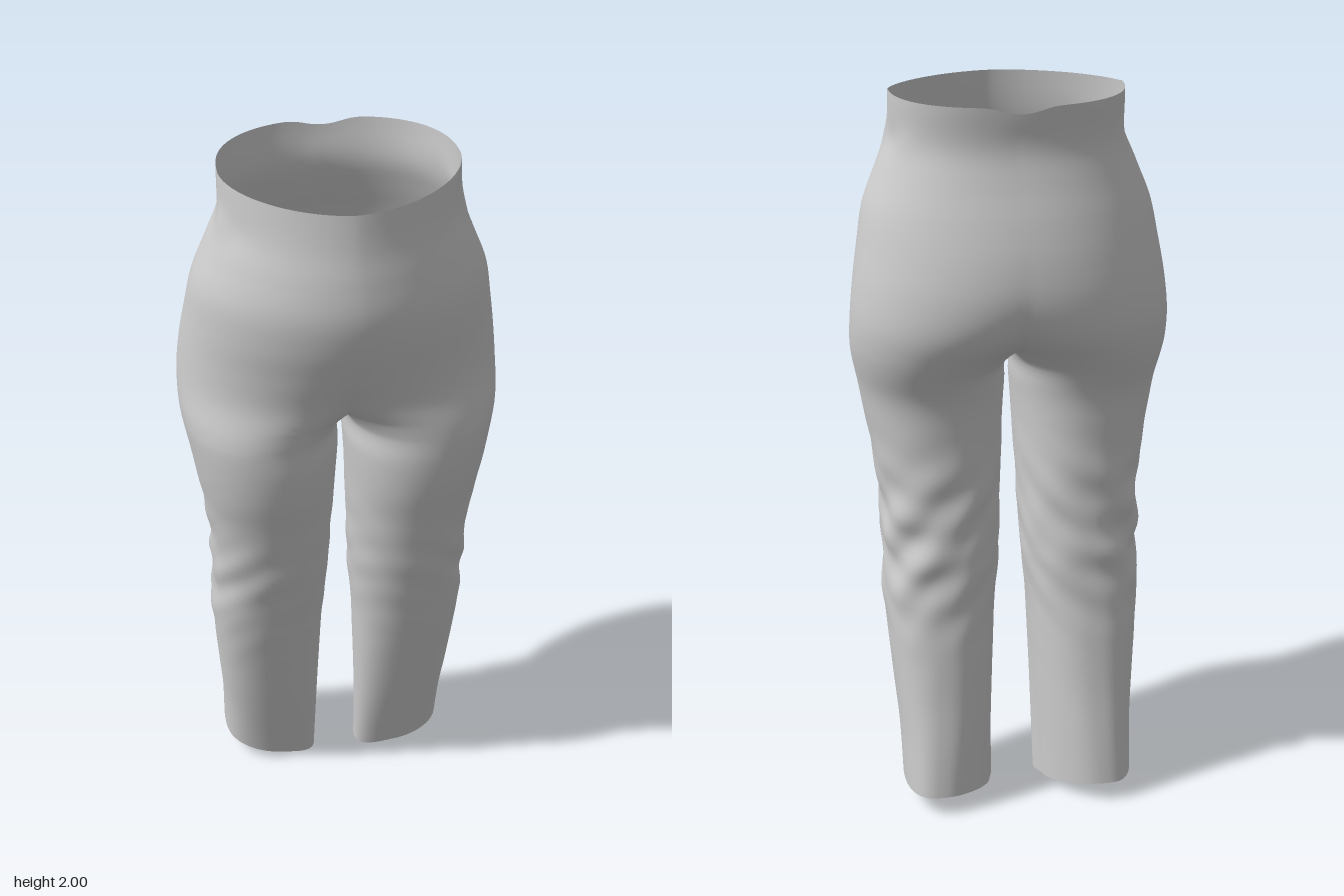
import * as THREE from 'three';
import { mergeGeometries, mergeVertices } from 'three/addons/utils/BufferGeometryUtils.js';

// Fit of the garment by height: y, outer x, inner x / outer x, front z, back z,
// squareness of the front and of the back (superellipse exponents)
// (inner ratio -1 = one ellipse round the whole body, above 0 = separate legs)
const FIT = [
  [0.0, 0.325, 0.055, -0.02, -0.295, 2.6, 2.4],
  [0.2, 0.33, 0.075, 0.03, -0.27, 2.55, 2.4],
  [0.4, 0.345, 0.09, 0.075, -0.24, 2.5, 2.35],
  [0.6, 0.36, 0.1, 0.12, -0.212, 2.4, 2.3],
  [0.8, 0.358, 0.085, 0.165, -0.195, 2.3, 2.25],
  [1.0, 0.375, 0.055, 0.205, -0.185, 2.2, 2.2],
  [1.1, 0.393, 0.04, 0.228, -0.185, 2.15, 2.15],
  [1.2, 0.41, 0.022, 0.24, -0.195, 2.1, 2.1],
  [1.28, 0.426, 0.008, 0.24, -0.228, 2.05, 2.05],
  [1.31, 0.43, -0.06, 0.24, -0.245, 2.02, 2.05],
  [1.4, 0.43, -0.45, 0.243, -0.295, 2.0, 2.05],
  [1.5, 0.42, -0.79, 0.275, -0.315, 1.95, 2.07],
  [1.6, 0.404, -0.94, 0.308, -0.306, 1.9, 2.1],
  [1.7, 0.385, -1, 0.325, -0.28, 1.85, 2.15],
  [1.8, 0.346, -1, 0.316, -0.246, 1.8, 2.25],
  [1.88, 0.317, -1, 0.302, -0.226, 1.75, 2.3],
  [2.0, 0.31, -1, 0.292, -0.235, 1.7, 2.35],
];
const CROTCH = 1.31;
const fit = new THREE.CubicInterpolant(
  FIT.map((r) => r[0]), FIT.flatMap((r) => r.slice(1)), 6, new Float32Array(6));
const { smoothstep } = THREE.MathUtils;
const soft = (v, n) => Math.sign(v) * Math.abs(v) ** (2 / n);

// Centre, half-sizes and squareness of the section of one half at height y
function section(y) {
  const [xo, k, zf, zb, nf, nb] = fit.evaluate(y);
  const xi = Math.max(k, -1) * xo;
  return { c: (xo + xi) / 2, a: (xo - xi) / 2, zc: (zf + zb) / 2, d: (zf - zb) / 2, nf, nb };
}

// Angles at which the outer arc leaves the mid plane in front and reaches it behind
function outerArc(y) {
  const { c, a, nf, nb } = section(Math.max(y, CROTCH));
  const overrun = (n) => Math.asin(Math.min(1, Math.max(0, c / a) ** (n / 2)));
  return [-overrun(nf), Math.PI + overrun(nb)];
}

// The rest of the turn, along the inside of the leg
function innerArc(y) {
  const [front, back] = outerArc(y);
  return [back, 2 * Math.PI + front];
}

// Surface point; angle 0 = front, PI / 2 = outer side, PI = back
function surfacePoint(y, angle) {
  const { c, a, zc, d, nf, nb } = section(y);
  const s = Math.sin(angle), co = Math.cos(angle);
  const n = co > 0 ? nf : nb;

  // Diagonal folds round the knee, strongest behind and outside
  const knee = Math.exp(-(((y - 0.78) / 0.2) ** 2)) * smoothstep(1.25 - y, 0, 0.2);
  const where = (0.3 + 0.35 * (1 - co)) * (0.3 + 0.35 * (1 + s));
  let fold = 0.007 * knee * where
    * (Math.sin(33 * y + 7 * s) + 0.7 * Math.sin(51 * y - 8 * co + 3 * s) + 0.5 * Math.sin(23 * y + 9 * co));
  // Small gathers under the waistband at the sides
  fold += 0.005 * Math.exp(-(((y - 1.88) / 0.035) ** 2)) * Math.max(0, s) ** 6 * Math.sin(9 * co);

  // Lower legs narrow at the inner back corner towards the hem
  const taper = 0.09 * Math.max(0, 1 - y / 0.7) * ((1 - s) * (1 - co)) / 2.914;

  // Waist dips in front and has a notch at the back; hem rises to the outside and back
  const waist = smoothstep(y, 1.88, 2)
    * (0.018 * Math.max(0, co) ** 0.7 + 0.018 * Math.max(0, -co) ** 90);
  const hem = 0.055 * (1 - smoothstep(y, 0, 0.35)) * (1 - ((1 - s) * (1 + co)) / 2.914);

  return [
    Math.max(0, c + (a + fold) * soft(s, n) + taper),
    y - waist + hem,
    zc + (d + fold) * soft(co, n),
  ];
}

// Grid of surface points over the heights and an arc, on side +1 or -1
function sheet(heights, columns, arc, side) {
  const positions = [], index = [];
  heights.forEach((y, i) => {
    const [from, to] = arc(y);
    for (let j = 0; j <= columns; j++) {
      const [px, py, pz] = surfacePoint(y, from + ((to - from) * j) / columns);
      positions.push(side * px, py, pz);
      if (i === heights.length - 1 || j === columns) continue;
      const a = i * (columns + 1) + j, b = a + columns + 1;
      if (side > 0) index.push(a, b, a + 1, a + 1, b, b + 1);
      else index.push(a, a + 1, b, a + 1, b + 1, b);
    }
  });
  const geometry = new THREE.BufferGeometry();
  geometry.setAttribute('position', new THREE.Float32BufferAttribute(positions, 3));
  geometry.setIndex(index);
  return geometry;
}

const steps = (from, to, n) => Array.from({ length: n + 1 }, (_, i) => from + ((to - from) * i) / n);

export function createModel() {
  const legHeights = [CROTCH, ...steps(1.28, 0, 80)];
  const allHeights = [...steps(2, CROTCH, 36).slice(0, -1), ...legHeights];

  // Outer cloth from waist to hem and inner leg walls, for both sides
  const sheets = [1, -1].flatMap((side) => [
    sheet(allHeights, 64, outerArc, side),
    sheet(legHeights, 20, innerArc, side),
  ]);
  const geometry = mergeVertices(mergeGeometries(sheets), 1e-4);
  geometry.computeVertexNormals();

  const trousers = new THREE.Mesh(
    geometry, new THREE.MeshStandardMaterial({ color: 0xcccccc, side: THREE.DoubleSide }));
  trousers.name = 'trousers';
  const group = new THREE.Group();
  group.name = 'trousersModel';
  group.add(trousers);
  return group;
}
